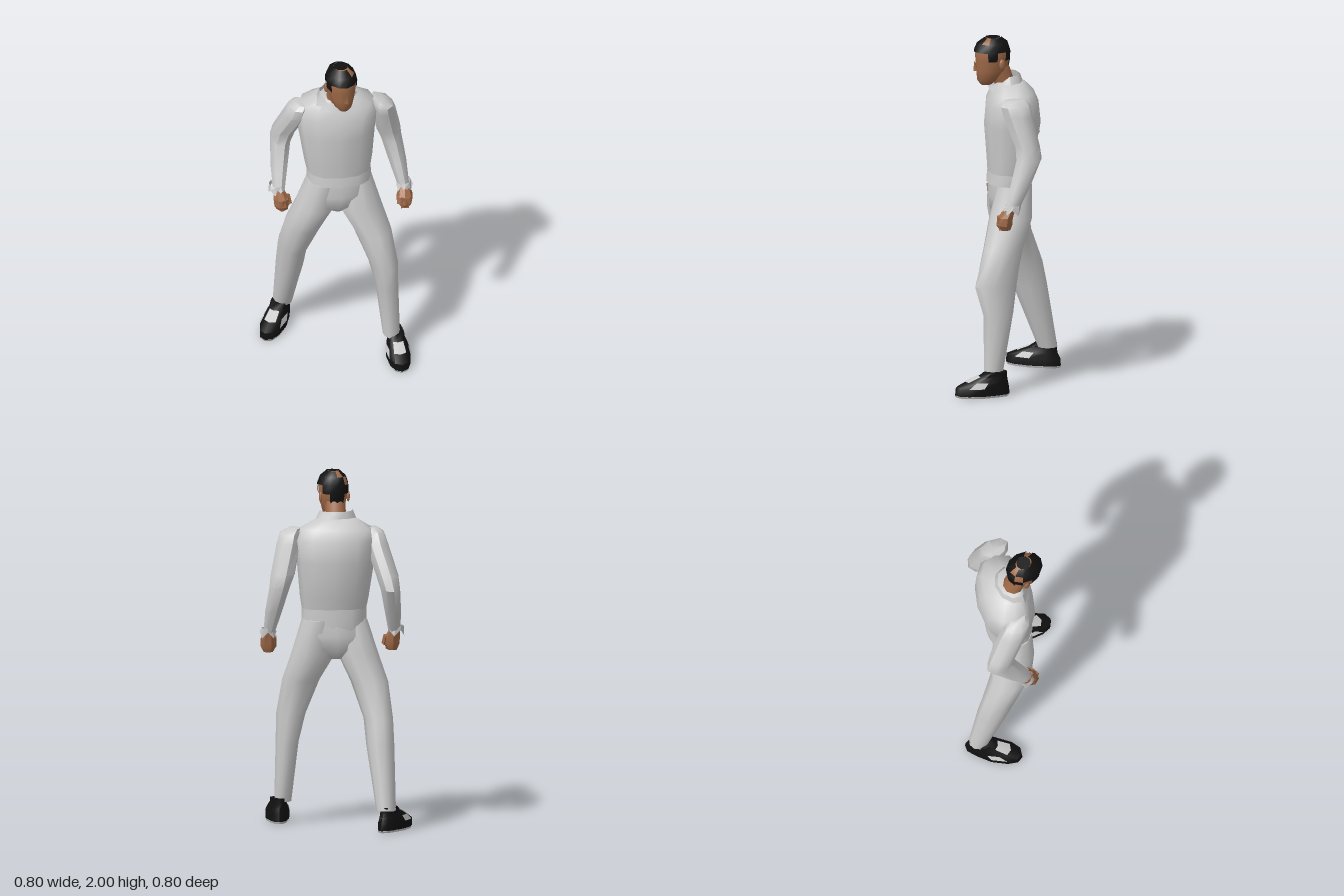
import * as THREE from 'three';
import { toCreasedNormals } from 'three/addons/utils/BufferGeometryUtils.js';

const material = (color) => new THREE.MeshStandardMaterial({ color, side: THREE.DoubleSide });
const cloth = material(0xcccccc);
const skin = material(0xa06a48);
const black = material(0x111111);

// Skin over stacked elliptical rings [x, y, z, halfWidth, halfDepth], listed from bottom to top.
// Side 0 faces the front; sides run towards the model's left.
function loft(rings, { sides = 12, yaw = 0, power = 1, caps = true, keep, warp, crease = 0.9 } = {}) {
  const pos = [], index = [];
  const bend = (v) => Math.sign(v) * Math.abs(v) ** power;
  rings.forEach(([cx, cy, cz, rx, rz], i) => {
    for (let j = 0; j < sides; j++) {
      const t = (j / sides) * Math.PI * 2;
      const lx = bend(Math.sin(t)) * rx, lz = bend(Math.cos(t)) * rz;
      const p = new THREE.Vector3(
        cx + lx * Math.cos(yaw) - lz * Math.sin(yaw), cy,
        cz + lx * Math.sin(yaw) + lz * Math.cos(yaw));
      if (warp) warp(p, i, t);
      pos.push(p.x, p.y, p.z);
    }
  });
  for (let i = 0; i < rings.length - 1; i++) {
    for (let j = 0; j < sides; j++) {
      if (keep && !keep(i, j)) continue;
      const a = i * sides + j, b = i * sides + (j + 1) % sides;
      index.push(a, b, b + sides, a, b + sides, a + sides);
    }
  }
  if (caps) {
    const top = (rings.length - 1) * sides;
    for (let j = 1; j < sides - 1; j++) index.push(0, j + 1, j, top, top + j, top + j + 1);
  }
  const g = new THREE.BufferGeometry();
  g.setAttribute('position', new THREE.Float32BufferAttribute(pos, 3));
  g.setIndex(index);
  return toCreasedNormals(g, crease);
}

export function createModel() {
  const model = new THREE.Group();
  const add = (name, geometry, mat, parent = model) => {
    const mesh = new THREE.Mesh(geometry, mat);
    mesh.name = name;
    parent.add(mesh);
    return mesh;
  };

  // Jacket body, turned slightly at the shoulders
  add('jacketBody', loft([
    [0, 1.18, -0.01, 0.172, 0.115], [0, 1.3, -0.02, 0.193, 0.132], [-0.003, 1.5, -0.035, 0.217, 0.16],
    [0, 1.62, -0.033, 0.232, 0.148], [-0.005, 1.685, -0.035, 0.21, 0.12], [-0.015, 1.74, -0.02, 0.11, 0.075],
  ], { sides: 12, yaw: 0.25, power: 0.85, crease: 1 }), cloth);

  // Loose hem, ragged and dropping at the back
  add('jacketHem', loft([[0, 1.165, -0.01, 0.182, 0.125], [0, 1.235, -0.015, 0.181, 0.122]], {
    sides: 12, yaw: 0.25, power: 0.85, caps: false,
    warp: (p, i, t) => { if (i === 0 && Math.cos(t) < -0.4) p.y -= 0.07 * Math.abs(Math.sin(t * 1.5)); },
  }), cloth);

  // Wide collar, open and lower at the throat
  add('collar', loft([[-0.015, 1.69, -0.005, 0.14, 0.1], [-0.02, 1.78, 0.0, 0.098, 0.08]], {
    sides: 9, caps: false,
    warp: (p, i, t) => { if (i === 1 && Math.cos(t) > 0.2) p.y -= 0.065 * Math.cos(t); },
  }), cloth);

  // Trousers
  add('hips', loft([
    [-0.005, 0.95, -0.025, 0.04, 0.07], [-0.01, 1.0, -0.022, 0.13, 0.112],
    [-0.003, 1.08, -0.022, 0.185, 0.122], [0, 1.2, -0.018, 0.172, 0.108],
  ], { yaw: 0.2, power: 0.9, crease: 1.2 }), cloth);
  add('leftLeg', loft([
    [0.245, 0.12, 0.175, 0.047, 0.055], [0.23, 0.46, 0.14, 0.062, 0.09], [0.207, 0.62, 0.145, 0.078, 0.125],
    [0.165, 0.82, 0.085, 0.104, 0.115], [0.108, 0.98, 0.018, 0.125, 0.122], [0.09, 1.17, -0.015, 0.095, 0.1],
  ], { sides: 10, crease: 1.1 }), cloth);
  add('rightLeg', loft([
    [-0.215, 0.12, -0.33, 0.055, 0.057], [-0.21, 0.48, -0.225, 0.077, 0.1], [-0.21, 0.62, -0.185, 0.08, 0.112],
    [-0.182, 0.82, -0.1, 0.104, 0.118], [-0.125, 0.98, -0.055, 0.115, 0.122], [-0.09, 1.17, -0.025, 0.095, 0.1],
  ], { sides: 10, crease: 1.1 }), cloth);

  // Sleeves, with flat, squarish shoulder tops
  add('leftSleeve', loft([
    [0.345, 1.09, 0.1, 0.034, 0.042], [0.333, 1.22, 0.045, 0.05, 0.062], [0.315, 1.36, -0.012, 0.06, 0.076],
    [0.297, 1.43, -0.01, 0.07, 0.073], [0.252, 1.6, 0.03, 0.07, 0.085], [0.24, 1.655, 0.04, 0.06, 0.088],
    [0.215, 1.685, 0.035, 0.03, 0.06],
  ], { sides: 8, crease: 0.8 }), cloth);
  add('rightSleeve', loft([
    [-0.327, 1.1, -0.095, 0.034, 0.042], [-0.308, 1.2, -0.145, 0.046, 0.06], [-0.27, 1.35, -0.225, 0.056, 0.08],
    [-0.258, 1.43, -0.2, 0.064, 0.078], [-0.222, 1.6, -0.105, 0.066, 0.085], [-0.215, 1.665, -0.08, 0.055, 0.075],
    [-0.2, 1.69, -0.07, 0.035, 0.05],
  ], { sides: 8, crease: 0.8 }), cloth);

  // Cuffs and fists
  const addHand = (side, x, y, z, yaw) => {
    const hand = new THREE.Group();
    hand.name = side + 'Hand';
    hand.position.set(x, y, z);
    hand.rotation.y = yaw;
    model.add(hand);
    add('cuff', loft([[0, 0.045, -0.025, 0.047, 0.05], [0, 0.085, -0.035, 0.037, 0.044]], {
      sides: 8, caps: false, crease: 0.3, warp: (p, i, t) => { if (i === 0) p.y += 0.018 * Math.cos(t * 4); },
    }), cloth, hand);
    add('fist', loft([
      [0, -0.058, 0.012, 0.026, 0.03], [0, -0.03, 0.015, 0.043, 0.046],
      [0, 0.015, 0.01, 0.045, 0.045], [0, 0.07, -0.02, 0.027, 0.03],
    ], { sides: 7, crease: 0.4 }), skin, hand);
    for (let f = 0; f < 4; f++) {
      const finger = add('finger' + (f + 1), new THREE.BoxGeometry(0.045, 0.018, 0.02), skin, hand);
      finger.position.set(0, 0.01 - f * 0.019, 0.045 - f * 0.003);
    }
    const thumb = add('thumb', new THREE.BoxGeometry(0.02, 0.055, 0.025), skin, hand);
    thumb.position.set(side === 'left' ? -0.036 : 0.036, 0, 0.03);
    thumb.rotation.x = -0.4;
  };
  addHand('left', 0.342, 1.03, 0.13, -0.3);
  addHand('right', -0.33, 1.045, -0.07, 0.3);

  // Shoes, built pointing forward and then turned
  const addShoe = (side, x, z, yaw, length) => {
    const shoe = new THREE.Group();
    shoe.name = side + 'Shoe';
    shoe.position.set(x, 0, z);
    shoe.rotation.y = -yaw;
    model.add(shoe);
    const rings = (e) => [
      [0, 0.012, 0, 0.066 + e, length + e], [0, 0.055, 0, 0.067 + e, length - 0.004 + e],
      [0, 0.085 + e, -0.025, 0.059 + e, 0.12 + e], [0, 0.115 + e, -0.06, 0.049 + e, 0.08 + e],
      [0, 0.14, -0.078, 0.05 + e, 0.062 + e],
    ];
    const shape = { sides: 12, power: 0.85, warp: (p) => { if (p.z < -0.05) p.x *= 0.82; } };
    add('sole', loft([[0, 0, 0, 0.062, length - 0.005], [0, 0.012, 0, 0.067, length + 0.002]], shape), cloth, shoe);
    add('upper', loft(rings(0), shape), black, shoe);
    add('lightPanels', loft(rings(0.003), {
      ...shape, caps: false,
      keep: (i, j) => (i === 2 && (j === 0 || j === 11)) || (i === 1 && (j === 2 || j === 9)),
    }), cloth, shoe);
  };
  addShoe('left', 0.256, 0.246, 0.19, 0.155);
  addShoe('right', -0.28, -0.27, 0.74, 0.165);

  // Neck and head
  add('neck', loft([[-0.018, 1.67, -0.015, 0.06, 0.058], [-0.02, 1.83, 0.045, 0.06, 0.062]], { sides: 9 }), skin);
  const headRings = (e) => [
    [-0.02, 1.727, 0.115, 0.026, 0.032], [-0.02, 1.755, 0.108, 0.05 + e, 0.06 + e],
    [-0.02, 1.81, 0.083, 0.07 + e, 0.092 + e], [-0.02, 1.87, 0.079, 0.08 + e, 0.099 + e],
    [-0.02, 1.92, 0.08, 0.084 + e, 0.102 + e], [-0.02, 1.965, 0.078, 0.068 + e, 0.085 + e],
    [-0.02, 1.99 + e, 0.075, 0.034 + e, 0.043 + e],
  ];
  add('head', loft(headRings(0), { crease: 1.2 }), skin);
  const nose = add('nose', new THREE.ConeGeometry(0.016, 0.06, 4), skin);
  nose.position.set(-0.02, 1.84, 0.182);
  nose.rotation.x = 0.2;
  for (const s of [-1, 1]) {
    const ear = add(s > 0 ? 'leftEar' : 'rightEar', new THREE.SphereGeometry(1, 6, 5), skin);
    ear.position.set(-0.02 + s * 0.08, 1.85, 0.05);
    ear.scale.set(0.01, 0.032, 0.02);
  }

  // Hair: full crown, sideburns and patches at the back that leave some skin bare
  add('hair', loft(headRings(0.005), {
    caps: false,
    keep: (i, j) => {
      const fromFront = Math.min(j, 11 - j);
      if (i === 5) return j !== 1 && j !== 6;
      if (i === 4) return j !== 7;
      if (i === 3) return fromFront === 2 || fromFront > 3;
      return i === 2 && fromFront === 5;
    },
  }), black);
  const crown = add('crown', new THREE.CircleGeometry(0.042, 8), black);
  crown.position.set(-0.02, 1.997, 0.075);
  crown.rotation.x = -Math.PI / 2;

  return model;
}
